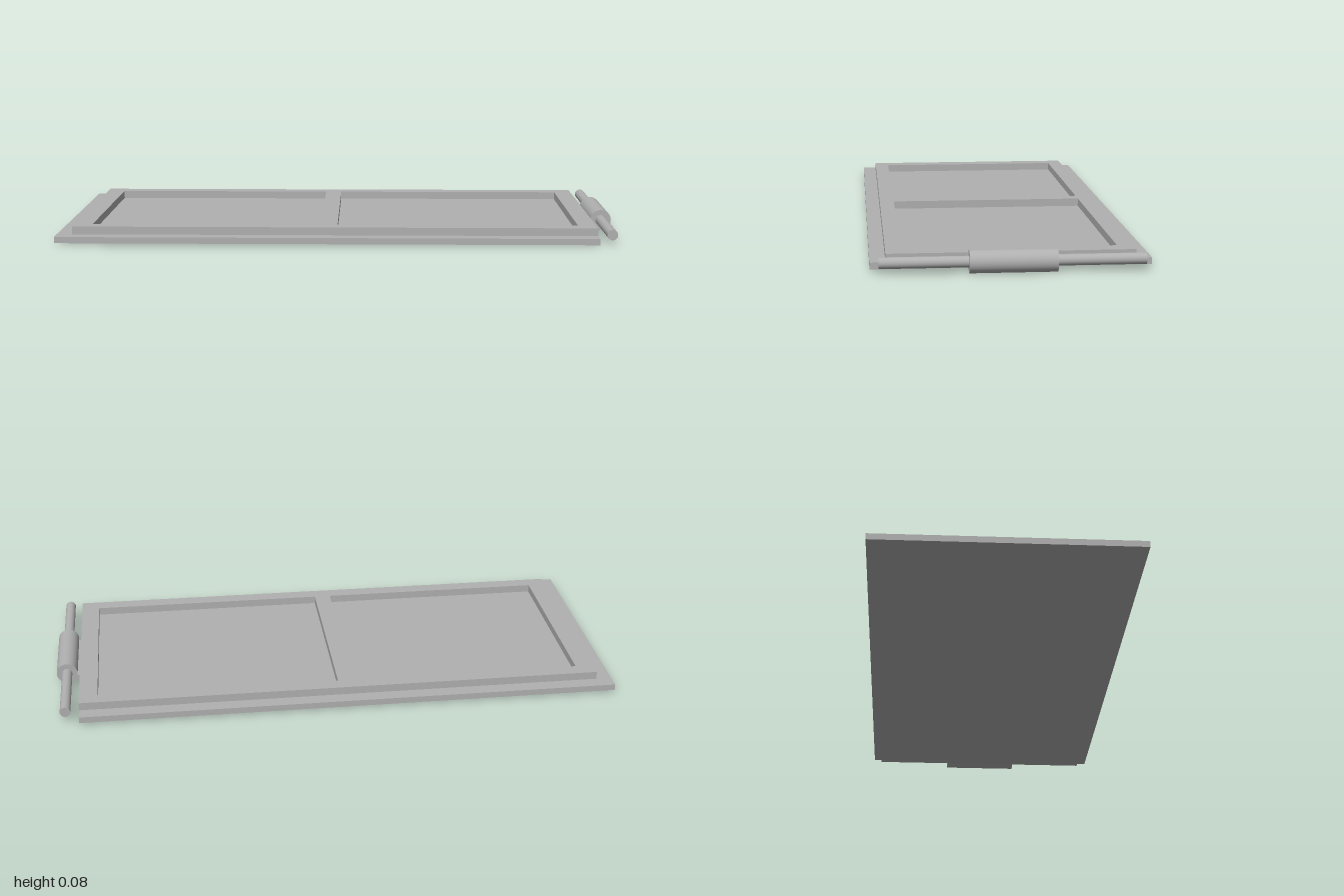
import * as THREE from 'three';

export function createModel() {
  const model = new THREE.Group();
  model.name = 'hingedPanel';
  const grey = new THREE.MeshStandardMaterial({ color: 0xb0b0b0 });
  grey.name = 'plain grey';

  const add = (name, geometry, x = 0, y = 0, z = 0) => {
    const mesh = new THREE.Mesh(geometry, grey);
    mesh.name = name;
    mesh.position.set(x, y, z);
    model.add(mesh);
    return mesh;
  };
  // Rectangle outline from its edges, used for the frame and its openings
  const rectangle = (Type, x0, x1, halfZ) => new Type([
    new THREE.Vector2(x0, -halfZ), new THREE.Vector2(x1, -halfZ),
    new THREE.Vector2(x1, halfZ), new THREE.Vector2(x0, halfZ),
  ]);

  // Base plate
  add('basePlate', new THREE.BoxGeometry(1.915, 0.022, 0.91), -0.0425, 0.019, 0);

  // Raised frame with two openings
  const outline = rectangle(THREE.Shape, -0.945, 0.915, 0.404);
  outline.holes.push(
    rectangle(THREE.Path, -0.88, -0.065, 0.351),
    rectangle(THREE.Path, -0.005, 0.85, 0.351),
  );
  const frame = new THREE.ExtrudeGeometry(outline, { depth: 0.028, bevelEnabled: false });
  frame.rotateX(-Math.PI / 2);
  add('raisedFrame', frame, 0, 0.03, 0);

  // Hinge barrel, its pin and the tab that joins it to the plate
  const hingeX = 0.9625, hingeY = 0.0385;
  for (const [name, radius, length] of [['hingeBarrel', 0.0375, 0.282], ['hingePin', 0.0185, 0.854]]) {
    const cylinder = new THREE.CylinderGeometry(radius, radius, length, 48);
    cylinder.rotateX(Math.PI / 2);
    add(name, cylinder, hingeX, hingeY, 0);
  }
  add('hingeTab', new THREE.BoxGeometry(0.03, 0.022, 0.282), 0.928, 0.019, 0);

  return model;
}
